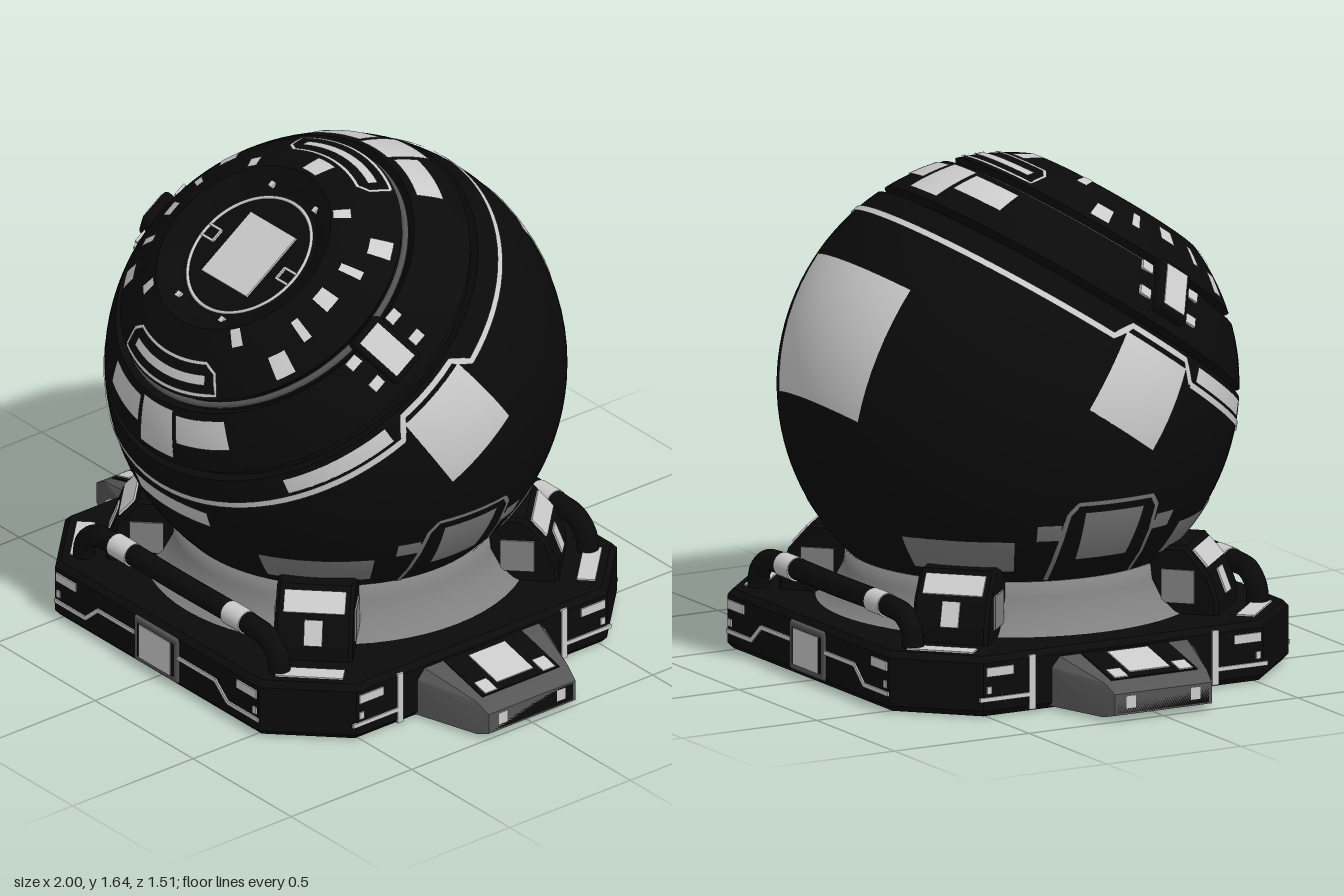
import * as THREE from 'three';
import { toCreasedNormals } from 'three/addons/utils/BufferGeometryUtils.js';
import { RoundedBoxGeometry } from 'three/addons/geometries/RoundedBoxGeometry.js';
import { ConvexGeometry } from 'three/addons/geometries/ConvexGeometry.js';

const R = 0.745, CY = 0.895, TILT = 0.605, D = Math.PI / 180;
const paint = (color) => new THREE.MeshStandardMaterial({ color, side: THREE.DoubleSide });
const black = paint(0x0a0a0a), light = paint(0xcccccc), mid = paint(0x555555), grey = paint(0x808080);

function add(parent, name, geometry, material, x = 0, y = 0, z = 0) {
  const mesh = new THREE.Mesh(geometry, material);
  mesh.name = name;
  mesh.position.set(x, y, z);
  parent.add(mesh);
  return mesh;
}
const box = (parent, name, mat, w, h, d, x, y, z) => add(parent, name, new THREE.BoxGeometry(w, h, d), mat, x, y, z);

function group(parent, name) {
  const g = new THREE.Group();
  g.name = name;
  parent.add(g);
  return g;
}

// Panel lying on the ball: azimuth a0..a1 (0 = front, 90 = left), polar angle t0..t1, in degrees
function patch(parent, name, a0, a1, t0, t1, r = R + 0.004, mat = light) {
  add(parent, name, new THREE.SphereGeometry(r, 12, 8, (a0 + 90) * D, (a1 - a0) * D, t0 * D, (t1 - t0) * D), mat);
}

// Flat stripe following [azimuth, polar] points over the ball
function stripe(parent, name, corners, width, mat = light) {
  const pts = [];
  for (let i = 0; i < corners.length - 1; i++) {
    const [a, b] = [corners[i], corners[i + 1]];
    const n = Math.max(3, Math.ceil(Math.abs(b[0] - a[0]) / 4));
    for (let k = i ? 1 : 0; k <= n; k++) {
      const f = k / n;
      pts.push(new THREE.Vector3().setFromSphericalCoords(R + 0.005, (a[1] + (b[1] - a[1]) * f) * D, (a[0] + (b[0] - a[0]) * f) * D));
    }
  }
  const pos = [], index = [];
  pts.forEach((p, i) => {
    const along = pts[Math.min(i + 1, pts.length - 1)].clone().sub(pts[Math.max(i - 1, 0)]);
    const side = p.clone().cross(along).setLength(width / 2);
    pos.push(...p.clone().add(side).toArray(), ...p.clone().sub(side).toArray());
    const k = 2 * i;
    if (i) index.push(k - 2, k - 1, k, k, k - 1, k + 1);
  });
  const geo = new THREE.BufferGeometry();
  geo.setAttribute('position', new THREE.Float32BufferAttribute(pos, 3));
  geo.setIndex(index);
  geo.computeVertexNormals();
  add(parent, name, geo, mat);
}

// Tilted ball with two grooves and a dished cap
function buildBall(root) {
  const ball = group(root, 'ball');
  ball.position.y = CY;
  ball.rotation.x = TILT;
  const prof = [];
  const at = (deg, r = R) => prof.push(new THREE.Vector2(Math.max(0, Math.sin(deg * D) * r), Math.cos(deg * D) * r));
  const arc = (from, to, n) => { for (let i = 0; i <= n; i++) at(from + (to - from) * i / n); };
  arc(180, 64, 40);
  at(63.7, R - 0.035); at(62, R - 0.035);
  arc(61.7, 46, 8);
  at(45.7, R - 0.04); at(43, R - 0.04);
  arc(42.7, 25, 8);
  prof.push(new THREE.Vector2(0.29, 0.665), new THREE.Vector2(0.24, 0.632), new THREE.Vector2(0, 0.63));
  add(ball, 'ballShell', toCreasedNormals(new THREE.LatheGeometry(prof, 96), 0.5), black);

  const ring = (name, r, y, tube, mat) => add(ball, name, new THREE.TorusGeometry(r, tube, 6, 96).rotateX(Math.PI / 2), mat, 0, y, 0);
  ring('capRing', 0.5, 0.513, 0.012, mid);
  ring('dishRing', 0.222, 0.632, 0.006, light);
  box(ball, 'dishPlate', light, 0.23, 0.008, 0.25, 0, 0.634, 0);

  // Cap details, repeated left/right
  for (const s of [-1, 1]) {
    for (const [w, d, x, z] of [[0.06, 0.008, 0.19, 0.022], [0.06, 0.008, 0.19, -0.022], [0.008, 0.044, 0.162, 0]])
      box(ball, 'dishClip', light, w, 0.008, d, s * x, 0.635, z);
    for (const a of [40, 140]) patch(ball, 'capTab', s * a - 3, s * a + 3, 25.5, 30);
    for (const a of [57, 123]) patch(ball, 'capTab', s * a - 4, s * a + 4, 35, 41);
    patch(ball, 'capTab', s * 90 - 4, s * 90 + 4, 29, 34);
    for (const a of [72, 108]) patch(ball, 'capDash', s * a - 2, s * a + 2, 30, 36);
    for (const a of [25, 155]) box(ball, 'dishDot', light, 0.02, 0.01, 0.02, s * 0.26 * Math.sin(a * D), 0.648, 0.26 * Math.cos(a * D));

    // Latch across the groove
    const latch = group(ball, 'latch');
    latch.rotation.z = -s * 51 * D;
    add(latch, 'latchBody', new RoundedBoxGeometry(0.2, 0.07, 0.13, 3, 0.015), black, 0, R - 0.008, 0);
    box(latch, 'latchPlate', light, 0.16, 0.01, 0.09, 0, R + 0.025, 0);
    for (const z of [-0.1, 0.1]) for (const x of [-0.05, 0.05])
      box(latch, 'latchTab', light, 0.035, 0.01, 0.045, x, R - 0.006, z);

    patch(ball, 'bandPanel', s > 0 ? 42 : -74, s > 0 ? 74 : -42, 65.5, 69.5);
    patch(ball, 'sidePanel', s * 90 - 11, s * 90 + 11, 68, 90.5);
  }
  // Front and back panels
  for (const c of [0, 180]) {
    patch(ball, 'crossCentre', c - 7.5, c + 7.5, 47, 60);
    patch(ball, 'crossArm', c - 29, c - 9, 48, 55.5);
    patch(ball, 'crossArm', c + 9, c + 29, 48, 55.5);
    patch(ball, 'handlePlate', c - 22, c + 22, 36.5, 39);
    stripe(ball, 'handleOutline', [[c - 27, 41.5], [c - 27, 36], [c - 23, 33.5], [c + 23, 33.5], [c + 27, 36], [c + 27, 41.5], [c - 27, 41.5]], 0.012);
  }
  patch(ball, 'capPointer', 174, 186, 26, 32);
  patch(ball, 'backPanel', 156.5, 203.5, 86, 122);
  // Light line round the ball, stepping up over the side panels
  stripe(ball, 'ballLine', [[-76, 71], [76, 71], [80, 66], [100, 66], [104, 71], [256, 71], [260, 66], [280, 66], [284, 71]], 0.022);

  // Upright panels on the lower half
  const lower = group(root, 'lowerPanels');
  lower.position.y = CY;
  patch(lower, 'chinPanel', -15, 15, 108.5, 113.5);
  for (const c of [45, 135, 225, 315]) patch(lower, 'footPanel', c - 17, c + 17, 120, 131, R + 0.004, grey);
  for (const c of [90, 270]) {
    patch(lower, 'hatchPlate', c - 9, c + 9, 111.5, 127, R + 0.005, grey);
    patch(lower, 'hatchEar', c - 22, c - 15, 115, 120, R + 0.004, grey);
    patch(lower, 'hatchEar', c + 15, c + 22, 115, 120, R + 0.004, grey);
    stripe(lower, 'hatchFrame', [[c - 17, 135], [c - 13.5, 112], [c - 11, 109], [c + 11, 109], [c + 13.5, 112], [c + 17, 135]], 0.018, grey);
  }
}

// Eight-sided plate with trim on its faces
function buildBase(root) {
  const base = group(root, 'base');
  const a = 0.725, b = 0.512;
  const oct = new THREE.Shape([[a, -b], [a, b], [b, a], [-b, a], [-a, b], [-a, -b], [-b, -a], [b, -a]].map((p) => new THREE.Vector2(...p)));
  const plate = new THREE.ExtrudeGeometry(oct, { depth: 0.158, bevelSize: 0.018, bevelThickness: 0.02, bevelSegments: 1 });
  add(base, 'plate', plate.rotateX(-Math.PI / 2), black, 0, 0.022, 0);
  box(base, 'bottomStrip', mid, 0.2, 0.004, 1.0, 0, 0.002, 0);

  for (let k = 0; k < 8; k++) {
    const face = group(base, 'plateFace');
    face.rotation.y = k * Math.PI / 4;
    const trim = (name, w, h, x, y, z) => box(face, name, light, w, h, 0.008, x, y, z);
    if (k % 2) {
      trim('trimLine', 0.31, 0.014, 0, 0.06, 0.884);
      trim('facePlate', 0.15, 0.035, 0, 0.145, 0.884);
      continue;
    }
    const side = k % 4 === 2, z = 0.744;
    for (const s of [-1, 1]) {
      trim('trimLine', side ? 0.19 : 0.16, 0.014, s * 0.44, 0.06, z);
      trim('facePlate', 0.1, 0.03, s * 0.46, 0.15, z);
      trim('trimDot', 0.018, 0.024, s * 0.5, 0.09, z);
      if (side) trim('trimPost', 0.024, 0.18, s * 0.34, 0.1, z);
      else {
        trim('trimStep', 0.085, 0.014, s * 0.33, 0.088, z).rotation.z = -s * 0.72;
        trim('trimLine', 0.19, 0.014, s * 0.205, 0.115, z);
      }
    }
    if (!side) {
      add(face, 'clasp', new RoundedBoxGeometry(0.23, 0.165, 0.03, 2, 0.012), mid, 0, 0.1, 0.735);
      add(face, 'claspInset', new RoundedBoxGeometry(0.2, 0.135, 0.03, 2, 0.012), black, 0, 0.1, 0.737);
      box(face, 'claspPlate', light, 0.16, 0.12, 0.03, 0, 0.1, 0.74);
      buildHandle(face);
    } else buildWing(face);
  }

  // Flared collar under the ball
  const collar = [[0.64, 0.19], [0.6, 0.21], [0.56, 0.25], [0.53, 0.31], [0.525, 0.36], [0.48, 0.36]];
  add(base, 'collar', new THREE.LatheGeometry(collar.map((p) => new THREE.Vector2(...p)), 64), grey);

  // Corner brackets cradling the ball
  const outline = new THREE.Shape([[0.45, 0.19], [0.72, 0.19], [0.72, 0.25], [0.69, 0.33], [0.62, 0.41], [0.48, 0.41]].map((p) => new THREE.Vector2(...p)));
  for (let k = 0; k < 4; k++) {
    const bracket = group(base, 'bracket');
    bracket.rotation.y = (k + 0.5) * Math.PI / 2;
    add(bracket, 'bracketBody', new THREE.ExtrudeGeometry(outline, { depth: 0.23, bevelSize: 0.012, bevelThickness: 0.012, bevelSegments: 1 }), black, 0, 0, -0.115);
    box(bracket, 'bracketPlate', light, 0.075, 0.01, 0.2, 0.666, 0.379, 0).rotation.z = -0.85;
    box(bracket, 'bracketStrip', light, 0.01, 0.085, 0.06, 0.717, 0.293, 0).rotation.z = 0.36;
    box(bracket, 'cornerPlate', light, 0.06, 0.008, 0.22, 0.82, 0.201, 0);
    for (const z of [-0.13, 0.13]) box(bracket, 'bracketSide', grey, 0.11, 0.11, 0.006, 0.6, 0.29, z);
  }
}

// Bent tube handle with two clamps
function buildHandle(face) {
  const h = group(face, 'handle');
  const pts = [[-0.5, 0.18], [-0.49, 0.25], [-0.44, 0.295], [-0.36, 0.305], [0, 0.305], [0.36, 0.305], [0.44, 0.295], [0.49, 0.25], [0.5, 0.18]];
  const curve = new THREE.CatmullRomCurve3(pts.map(([x, y]) => new THREE.Vector3(x, y, 0.64)));
  add(h, 'handleTube', new THREE.TubeGeometry(curve, 64, 0.036, 16), black);
  for (const s of [-1, 1])
    add(h, 'handleClamp', new THREE.CylinderGeometry(0.04, 0.04, 0.09, 20).rotateZ(Math.PI / 2), light, s * 0.29, 0.305, 0.64);
}

// Tapered side wing with a ribbed top
function buildWing(face) {
  const w = group(face, 'wing');
  const pts = [];
  for (const s of [-1, 1])
    for (const [x, y, z] of [[0.27, 0.01, 0.73], [0.27, 0.14, 0.73], [0.24, 0.175, 0.73], [0.19, 0.12, 0.95], [0.2, 0.01, 0.96], [0.18, 0.09, 1], [0.18, 0.02, 1]])
      pts.push(new THREE.Vector3(s * x, y, z));
  add(w, 'wingBody', toCreasedNormals(new ConvexGeometry(pts), 0.3), mid);
  const slope = Math.atan2(0.055, 0.22);
  for (const [name, mat, wd, len, x, z, up] of [
    ['wingTread', black, 0.32, 0.2, 0, 0.845, 0.004], ['wingPlate', light, 0.15, 0.15, 0, 0.84, 0.008],
    ['wingMark', light, 0.05, 0.06, -0.12, 0.91, 0.008], ['wingMark', light, 0.05, 0.06, 0.12, 0.91, 0.008]])
    box(w, name, mat, wd, 0.008, len, x, 0.175 - (z - 0.73) * 0.25 + up - 0.003, z).rotation.x = slope;
  box(w, 'wingNose', black, 0.34, 0.06, 0.01, 0, 0.055, 0.995);
  for (const x of [-0.12, 0.12]) box(w, 'wingDot', light, 0.035, 0.04, 0.01, x, 0.06, 0.9955);
}

export function createModel() {
  const root = new THREE.Group();
  root.name = 'displayBall';
  buildBall(root);
  buildBase(root);
  return root;
}
